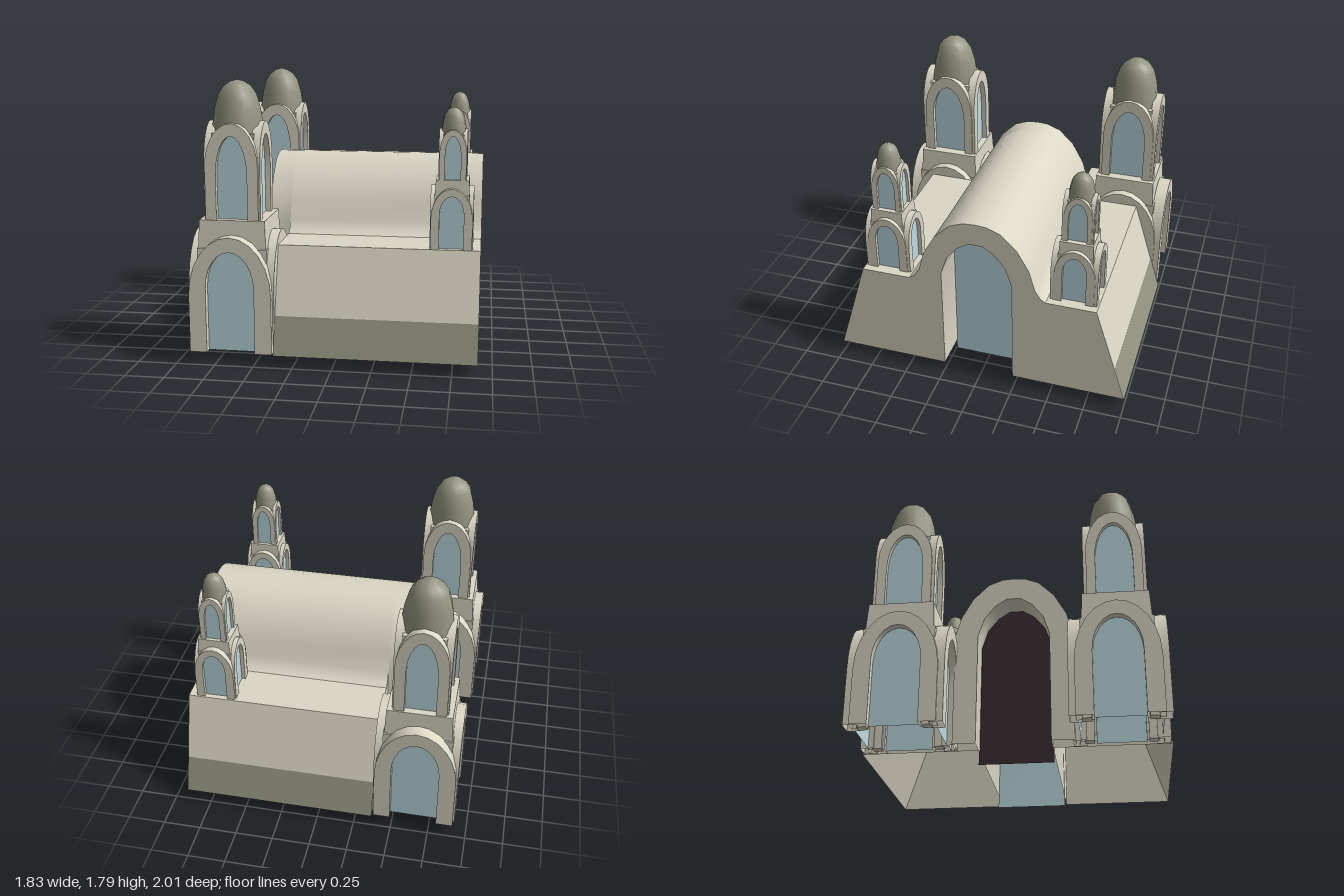
import * as THREE from 'three';
import { toCreasedNormals } from 'three/addons/utils/BufferGeometryUtils.js';

const material = (name, color, side = THREE.FrontSide) => {
  const m = new THREE.MeshStandardMaterial({ color, side });
  m.name = name;
  return m;
};

export function createModel() {
  const stone = material('stone', 0xdbd7c5, THREE.DoubleSide);
  const olive = material('olive', 0x939480);
  const glass = material('paleGlass', 0xbcdbe1, THREE.DoubleSide);
  const dark = material('darkDoor', 0x382b2f, THREE.DoubleSide);

  const add = (parent, name, geometry, mat) => {
    const mesh = new THREE.Mesh(geometry, mat);
    mesh.name = name;
    parent.add(mesh);
    return mesh;
  };

  // Extrusion left open underneath: triangles lying flat at floorY are dropped
  const extrude = (shape, depth, floorY) => {
    const solid = new THREE.ExtrudeGeometry(shape, { depth, bevelEnabled: false, curveSegments: 12 });
    const pos = solid.getAttribute('position');
    const kept = [];
    for (let i = 0; i < pos.count; i += 3) {
      const corners = [i, i + 1, i + 2];
      if (corners.every((c) => Math.abs(pos.getY(c) - floorY) < 1e-4)) continue;
      for (const c of corners) kept.push(pos.getX(c), pos.getY(c), pos.getZ(c));
    }
    const shell = new THREE.BufferGeometry();
    shell.setAttribute('position', new THREE.Float32BufferAttribute(kept, 3));
    return toCreasedNormals(shell, 0.6);
  };

  // Points of a round arch: up the right side, over, and down the left
  const archPoints = (hw, y0, spring, top) => {
    const pts = [new THREE.Vector2(hw, y0)];
    for (let i = 0; i <= 12; i++) {
      const a = (i / 12) * Math.PI;
      pts.push(new THREE.Vector2(hw * Math.cos(a), spring + (top - spring) * Math.sin(a)));
    }
    pts.push(new THREE.Vector2(-hw, y0));
    return pts;
  };

  // One tower storey: four arched frames with recessed panes
  const storey = (parent, name, s) => {
    for (let i = 0; i < 4; i++) {
      const face = new THREE.Group();
      face.name = name + 'Face';
      face.rotation.y = i * Math.PI / 2;
      const [out, hw, openHw] = i % 2 ? [s.dx, s.sideHw, s.sideOpenHw] : [s.dz, s.hw, s.openHw];
      const outer = archPoints(hw, s.y0, s.spring, s.top);
      const inner = archPoints(openHw, s.y0, s.openSpring, s.openTop);
      const frame = extrude(new THREE.Shape([...outer, ...inner.slice().reverse()]), s.thick, s.y0);
      frame.translate(0, 0, out - s.thick);
      add(face, name + 'Frame', frame, stone);
      const pane = new THREE.ShapeGeometry(new THREE.Shape(inner));
      pane.translate(0, 0, out - s.thick * 0.6);
      add(face, name + 'Window', pane, glass);
      parent.add(face);
    }
  };

  const createTower = () => {
    const tower = new THREE.Group();
    tower.name = 'tower';
    storey(tower, 'lowerArch', {
      y0: 0, hw: 0.265, sideHw: 0.265, spring: 0.37, top: 0.75,
      openHw: 0.155, sideOpenHw: 0.155, openSpring: 0.42, openTop: 0.655,
      dx: 0.275, dz: 0.305, thick: 0.085,
    });
    // Corner posts close the gaps between the curved frames
    for (const sx of [-1, 1]) for (const sz of [-1, 1]) {
      const post = new THREE.BoxGeometry(0.06, 0.66, 0.06);
      post.translate(sx * 0.195, 0.33, sz * 0.2);
      add(tower, 'cornerPost', post, stone);
    }
    // Tapered block between the storeys
    const cornice = new THREE.CylinderGeometry(0.21 * Math.SQRT2, 0.222 * Math.SQRT2, 0.24, 4);
    cornice.rotateY(Math.PI / 4);
    cornice.translate(0, 0.72, 0);
    add(tower, 'cornice', toCreasedNormals(cornice, 0.3), stone);

    storey(tower, 'upperArch', {
      y0: 0.84, hw: 0.17, sideHw: 0.18, spring: 1.17, top: 1.45,
      openHw: 0.1, sideOpenHw: 0.12, openSpring: 1.12, openTop: 1.37,
      dx: 0.18, dz: 0.2, thick: 0.06,
    });
    const core = new THREE.BoxGeometry(0.27, 0.54, 0.3);
    core.translate(0, 1.11, 0);
    add(tower, 'upperCore', core, stone);

    // Tall dome
    const profile = [[0.167, 1.372], [0.163, 1.42], [0.147, 1.53],
      [0.122, 1.62], [0.087, 1.67], [0.045, 1.698], [0, 1.71]];
    add(tower, 'dome', new THREE.LatheGeometry(
      profile.map(([r, y]) => new THREE.Vector2(r, y)), 11), olive);
    return tower;
  };

  const model = new THREE.Group();
  model.name = 'building';

  // Hall cross-section: half of the barrel roof, shoulders and the open passage
  const mirrored = (half) => [
    ...half.map(([x, y]) => new THREE.Vector2(x, y)),
    ...half.slice().reverse().filter(([x]) => x > 0).map(([x, y]) => new THREE.Vector2(-x, y)),
  ];
  const barrel = [[0.39, 0.83], [0.35, 0.97], [0.27, 1.11],
    [0.167, 1.21], [0.075, 1.245], [0, 1.25]];
  const shoulder = [[1, 0.08], [0.79, 0.75], [0.46, 0.75], [0.425, 0.775]];
  const passage = [[0.24, 0.08], [0.237, 0.83], [0.194, 0.96], [0.12, 1.05], [0.045, 1.097]];
  const hallPart = (name, base, x0, x1) => {
    const shape = new THREE.Shape([...mirrored([...base, ...barrel]), ...mirrored(passage).reverse()]);
    const geometry = extrude(shape, x1 - x0, 0.08);
    geometry.rotateY(Math.PI / 2);
    geometry.translate(x0, 0, 0);
    add(model, name, geometry, stone);
  };
  hallPart('hall', shoulder, -0.37, 0.91);
  hallPart('hallRear', [[0.39, 0.08]], -0.51, -0.37);

  // Arched panels closing the passage, reaching the ground
  const panel = (name, x, mat) => {
    const geometry = new THREE.ShapeGeometry(new THREE.Shape(
      mirrored([[0.245, 0], ...passage.slice(1)])));
    geometry.rotateY(Math.PI / 2);
    geometry.translate(x, 0, 0);
    add(model, name, geometry, mat);
  };
  panel('portalGlass', 0.66, glass);
  panel('rearDoor', -0.32, dark);

  // Darker bands along the foot of the sloping walls
  const tilt = Math.atan2(0.21, 0.67);
  for (const side of [1, -1]) {
    const band = new THREE.PlaneGeometry(1.28, 0.24 / Math.cos(tilt));
    band.translate(0, 0, 0.003);
    band.rotateX(-tilt);
    band.translate(0, 0.2, 0.9624);
    if (side < 0) band.rotateY(Math.PI);
    band.translate(0.27, 0, 0);
    add(model, 'wallBand', band, olive);
  }

  // Two large rear towers on the ground, two small ones on the shoulders
  for (const side of [1, -1]) {
    const large = createTower();
    large.name = 'largeTower';
    large.position.set(-0.645, 0.08, side * 0.68);
    model.add(large);
    const small = createTower();
    small.name = 'smallTower';
    small.position.set(0.725, 0.75, side * 0.626);
    small.scale.set(0.49, 0.513, 0.5);
    model.add(small);
  }
  return model;
}
